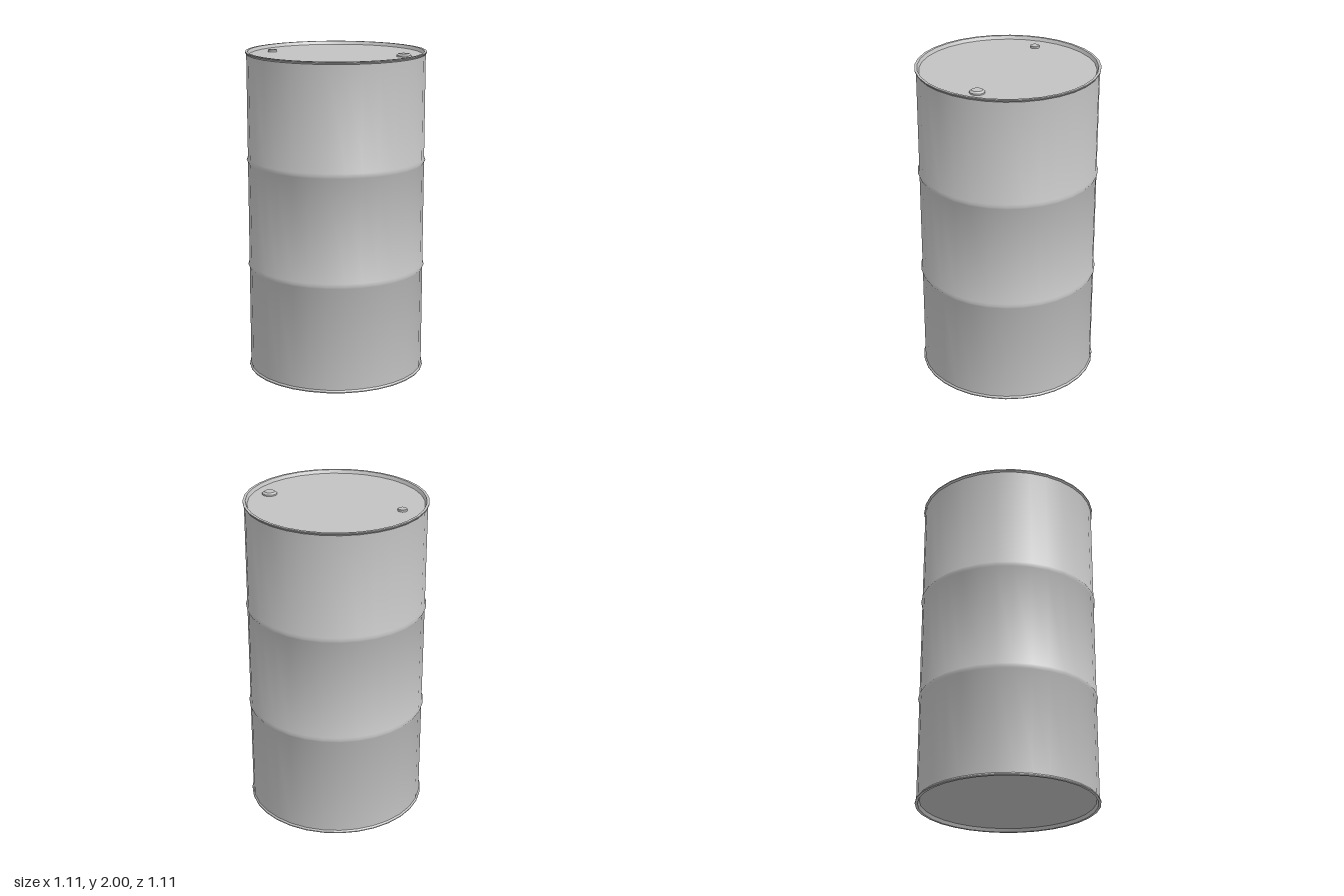
import * as THREE from 'three';

const steel = new THREE.MeshStandardMaterial({ color: 0xc2c2c2 });
steel.name = 'greySteel';

// Lathe whose normals blend neighbouring profile segments equally
function smoothLathe(profile, sides) {
  const pts = profile.map(([r, y]) => new THREE.Vector2(r, y));
  const geo = new THREE.LatheGeometry(pts, sides);
  const seg = pts.slice(1).map((p, i) => {
    const d = p.clone().sub(pts[i]).normalize();
    return new THREE.Vector2(d.y, -d.x);
  });
  const normals = pts.map((_, i) => {
    const n = new THREE.Vector2();
    if (i > 0) n.add(seg[i - 1]);
    if (i < seg.length) n.add(seg[i]);
    return n.normalize();
  });
  const attr = geo.attributes.normal;
  for (let i = 0; i <= sides; i++) {
    const a = (i / sides) * Math.PI * 2;
    normals.forEach((n, j) =>
      attr.setXYZ(i * pts.length + j, n.x * Math.sin(a), n.y, n.x * Math.cos(a)));
  }
  return geo;
}

function addLathe(parent, name, profile, sides = 32) {
  const mesh = new THREE.Mesh(smoothLathe(profile, sides), steel);
  mesh.name = name;
  parent.add(mesh);
  return mesh;
}

// One lathe per profile segment, so that every edge stays sharp
function addSharp(parent, name, profile, sides = 32) {
  const group = new THREE.Group();
  group.name = name;
  for (let i = 1; i < profile.length; i++) {
    addLathe(group, name + 'Face' + i, [profile[i - 1], profile[i]], sides);
  }
  parent.add(group);
  return group;
}

export function createModel() {
  const drum = new THREE.Group();
  drum.name = 'drum';
  const R = 0.545, rim = 0.553, lidY = 1.98;

  // Wall with two rolling hoops
  const wall = [[R, 0.016]];
  for (const y of [0.668, 1.335]) {
    wall.push([R, y - 0.015], [rim, y], [R, y + 0.015]);
  }
  wall.push([R, 1.984]);
  addLathe(drum, 'wall', wall);

  // Flared rims with recessed lid and base
  const top = [[R, 1.984], [rim, 1.994], [rim, 2], [0.537, 2], [0.527, lidY], [0, lidY]];
  addSharp(drum, 'topRimAndLid', top);
  const bottom = top.map(([r, y]) => [r, 2 - y]).reverse();
  addSharp(drum, 'bottomRimAndBase', bottom);

  // Large and small bungs
  const large = addSharp(drum, 'largeBung',
    [[0.045, 0], [0.045, 0.008], [0.04, 0.012], [0.032, 0.018], [0, 0.018]], 24);
  large.position.set(0.425, lidY, 0);
  const small = addSharp(drum, 'smallBung',
    [[0.028, 0], [0.028, 0.012], [0.026, 0.014], [0, 0.014]], 20);
  small.position.set(-0.41, lidY, 0);

  return drum;
}
